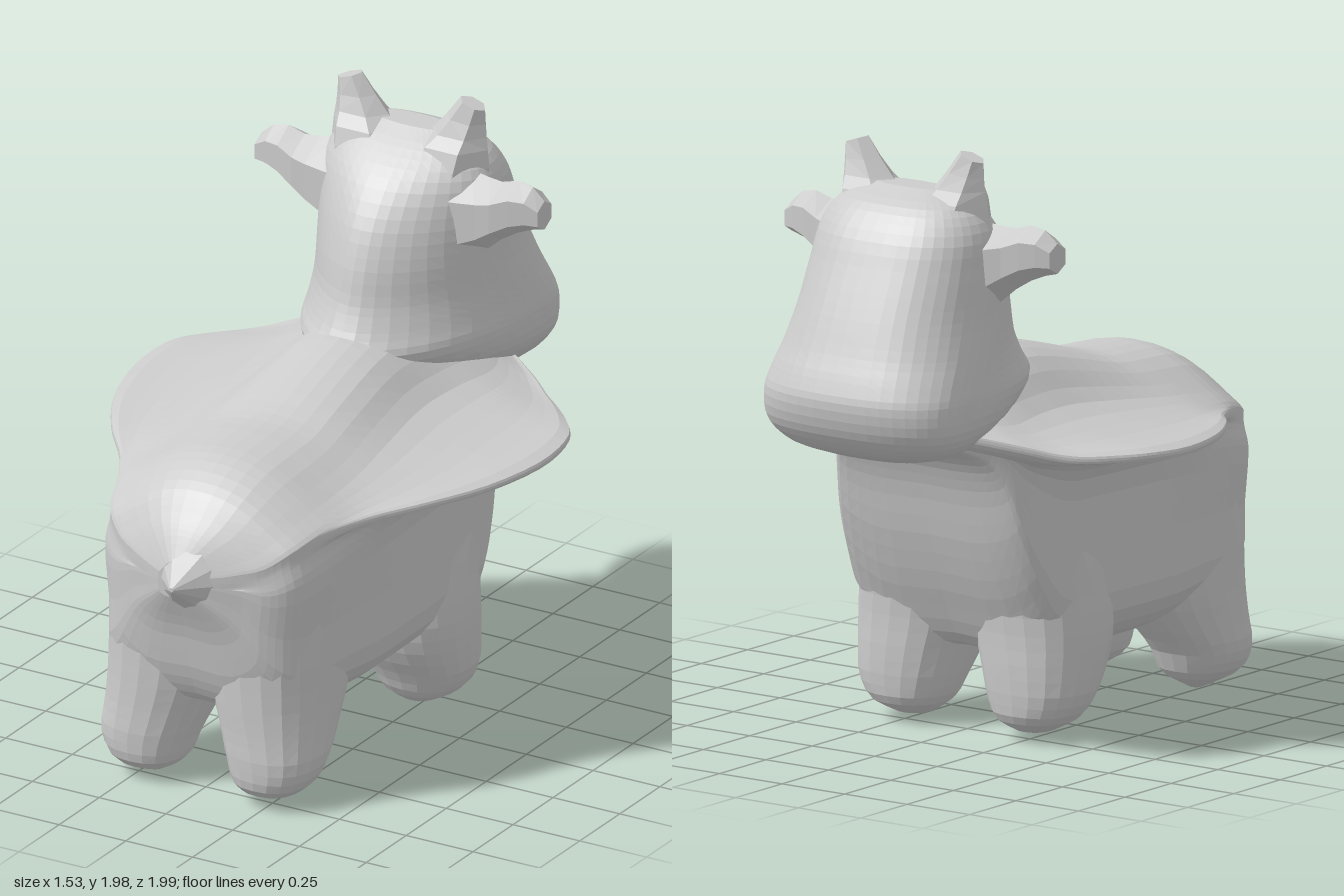
import * as THREE from 'three';

const V = (x, y, z) => new THREE.Vector3(x, y, z);
const material = new THREE.MeshStandardMaterial({ color: 0xcccccc, flatShading: true });

// Skin a smooth surface over matching closed sections, with capped ends.
function skin(name, sections, around, along) {
  const smooth = sections.map((points) => {
    const curve = new THREE.CatmullRomCurve3(points, true);
    return Array.from({ length: around }, (_, i) => curve.getPoint(i / around));
  });
  const columns = Array.from({ length: around }, (_, i) =>
    new THREE.CatmullRomCurve3(smooth.map((s) => s[i])).getPoints(along));
  const verts = [];
  for (let j = 0; j <= along; j++) for (const c of columns) verts.push(c[j]);
  const index = [];
  for (let j = 0; j < along; j++) {
    for (let i = 0; i < around; i++) {
      const a = j * around + i, b = j * around + (i + 1) % around;
      index.push(a, b, b + around, a, b + around, a + around);
    }
  }
  for (const j of [0, along]) {
    const centre = V(0, 0, 0);
    columns.forEach((c) => centre.addScaledVector(c[j], 1 / around));
    const m = verts.push(centre) - 1;
    for (let i = 0; i < around; i++) {
      const a = j * around + i, b = j * around + (i + 1) % around;
      if (j) index.push(a, b, m); else index.push(b, a, m);
    }
  }
  // A negative enclosed volume means the faces point inwards.
  let volume = 0;
  const cross = V(0, 0, 0);
  for (let k = 0; k < index.length; k += 3) {
    cross.crossVectors(verts[index[k + 1]], verts[index[k + 2]]);
    volume += verts[index[k]].dot(cross);
  }
  if (volume < 0) index.reverse();
  const geometry = new THREE.BufferGeometry().setFromPoints(verts);
  geometry.setIndex(index);
  geometry.computeVertexNormals();
  const mesh = new THREE.Mesh(geometry, material);
  mesh.name = name;
  return mesh;
}

// Rounded section: centre plus two half-axes; power above 2 makes it squarer.
function ring(centre, u, v, n = 12, power = 2) {
  return Array.from({ length: n }, (_, i) => {
    const t = (i / n) * Math.PI * 2;
    const round = (w) => Math.sign(w) * Math.abs(w) ** (2 / power);
    return centre.clone().addScaledVector(u, round(Math.cos(t))).addScaledVector(v, round(Math.sin(t)));
  });
}

// Body section across z, drawn out sideways into the thin wing edge.
function bodySection([z, top, wing, tip, ridge, half, bottom]) {
  const mix = THREE.MathUtils.lerp;
  const side = [
    [0.42 * ridge, mix(top, wing, 0.15)],
    [0.85 * ridge, mix(top, wing, 0.66)],
    [mix(ridge, tip, 0.5), mix(top, wing, 0.88)],
    [tip, wing + 0.012],
    [tip, wing - 0.012],
    [mix(half, tip, 0.35), wing - 0.035],
    [half * 1.04, mix(wing, bottom, 0.17)],
    [half, mix(wing, bottom, 0.5)],
    [half * 0.96, mix(wing, bottom, 0.82)],
    [half * 0.62, bottom],
  ];
  return [
    V(0, top, z), ...side.map(([x, y]) => V(x, y, z)),
    V(0, bottom, z), ...side.reverse().map(([x, y]) => V(-x, y, z)),
  ];
}

// Head section across y: wedge-shaped nape, squarer face side.
function headSection([y, back, face, half, nape, mid]) {
  const section = (depth, power) => ring(V(0, y, mid), V(half, 0, 0), V(0, 0, depth), 20, power);
  const rear = section(back - mid, nape), front = section(mid - face, 2.5);
  return rear.map((p, i) => (i <= 10 ? p : front[i]));
}

export function createModel() {
  const model = new THREE.Group();

  // Body with wings: z, top, wing height, wing reach, ridge and half width, underside
  model.add(skin('bodyAndWings', [
    [0.93, 0.86, 0.8, 0.07, 0.07, 0.07, 0.73],
    [0.88, 0.94, 0.82, 0.19, 0.19, 0.19, 0.6],
    [0.84, 0.99, 0.84, 0.27, 0.27, 0.28, 0.42],
    [0.78, 1.055, 0.89, 0.34, 0.34, 0.345, 0.32],
    [0.65, 1.12, 0.93, 0.395, 0.385, 0.385, 0.29],
    [0.5, 1.135, 0.95, 0.47, 0.4, 0.4, 0.28],
    [0.35, 1.145, 0.97, 0.59, 0.4, 0.415, 0.265],
    [0.15, 1.2, 0.98, 0.7, 0.38, 0.42, 0.265],
    [-0.1, 1.26, 0.99, 0.76, 0.36, 0.42, 0.27],
    [-0.28, 1.26, 1.0, 0.74, 0.38, 0.42, 0.29],
    [-0.37, 1.26, 1.0, 0.68, 0.4, 0.4, 0.44],
    [-0.45, 1.25, 1.0, 0.6, 0.41, 0.37, 0.66],
    [-0.5, 1.24, 1.01, 0.53, 0.4, 0.34, 0.86],
    [-0.55, 1.22, 1.03, 0.46, 0.37, 0.3, 0.96],
    [-0.66, 1.17, 1.07, 0.28, 0.26, 0.2, 1.02],
  ].map(bodySection), 66, 48));

  // Head and neck: y, nape, face, half width, nape roundness, widest z
  model.add(skin('head', [
    [0.995, -0.55, -0.83, 0.2, 2, -0.72],
    [1.03, -0.42, -0.91, 0.31, 2, -0.75],
    [1.1, -0.22, -0.97, 0.365, 2, -0.78],
    [1.2, -0.06, -0.995, 0.375, 1.9, -0.76],
    [1.27, -0.1, -0.975, 0.365, 1.8, -0.72],
    [1.35, -0.14, -0.94, 0.35, 1.7, -0.66],
    [1.47, -0.175, -0.89, 0.33, 1.7, -0.6],
    [1.6, -0.23, -0.83, 0.32, 1.7, -0.56],
    [1.72, -0.32, -0.77, 0.305, 1.8, -0.54],
    [1.8, -0.42, -0.7, 0.25, 2, -0.54],
    [1.85, -0.5, -0.6, 0.14, 2, -0.54],
  ].map(headSection), 44, 32));

  // Tail stub
  model.add(skin('tail', [[0.8, 0.17], [0.88, 0.13], [0.94, 0.068], [1, 0.008]].map(
    ([z, r]) => ring(V(0.02, 0.79, z), V(r, 0, 0), V(0, r, 0))), 12, 6));

  for (const [side, s] of [['left', 1], ['right', -1]]) {
    // Legs: y, x centre, z centre, x radius, z radius
    const leg = (name, rows) => model.add(skin(side + name, rows.map(
      ([y, x, z, rx, rz]) => ring(V(s * x, y, z), V(rx, 0, 0), V(0, 0, rz), 12, 2.4)), 20, 18));
    leg('TailEndLeg', [
      [0.88, 0.15, 0.58, 0.2, 0.22],
      [0.75, 0.165, 0.59, 0.215, 0.255],
      [0.55, 0.18, 0.595, 0.21, 0.255],
      [0.36, 0.195, 0.61, 0.195, 0.24],
      [0.25, 0.215, 0.645, 0.175, 0.205],
      [0.14, 0.235, 0.69, 0.155, 0.162],
      [0.06, 0.23, 0.7, 0.12, 0.135],
      [0, 0.22, 0.69, 0.02, 0.025],
    ]);
    leg('HeadEndLeg', [
      [0.95, 0.18, -0.28, 0.2, 0.2],
      [0.8, 0.2, -0.25, 0.2, 0.22],
      [0.65, 0.205, -0.2, 0.215, 0.235],
      [0.5, 0.215, -0.16, 0.22, 0.215],
      [0.36, 0.23, -0.15, 0.215, 0.21],
      [0.25, 0.245, -0.165, 0.195, 0.195],
      [0.14, 0.255, -0.195, 0.17, 0.16],
      [0.07, 0.25, -0.205, 0.13, 0.135],
      [0.025, 0.24, -0.2, 0.06, 0.07],
    ]);

    // Ears: x, y, z, y radius, z radius
    model.add(skin(side + 'Ear', [
      [0.16, 1.59, -0.5, 0.17, 0.15],
      [0.29, 1.61, -0.495, 0.135, 0.12],
      [0.37, 1.64, -0.485, 0.1, 0.1],
      [0.46, 1.675, -0.485, 0.085, 0.075],
      [0.53, 1.66, -0.48, 0.05, 0.05],
    ].map(([x, y, z, ry, rz]) => ring(V(s * x, y, z), V(0, ry, 0), V(0, 0, rz), 6)), 6, 6));

    // Horns: y, x, z, x radius, z radius
    model.add(skin(side + 'Horn', [
      [1.68, 0.13, -0.53, 0.17, 0.14],
      [1.8, 0.16, -0.53, 0.13, 0.11],
      [1.87, 0.19, -0.535, 0.09, 0.065],
      [1.965, 0.23, -0.535, 0.045, 0.035],
    ].map(([y, x, z, rx, rz]) => {
      const tilt = y > 1.9 ? -0.015 : 0;
      return ring(V(s * x, y, z), V(s * rx, tilt, 0), V(0, 0, rz), 6);
    }), 6, 5));
  }
  return model;
}
